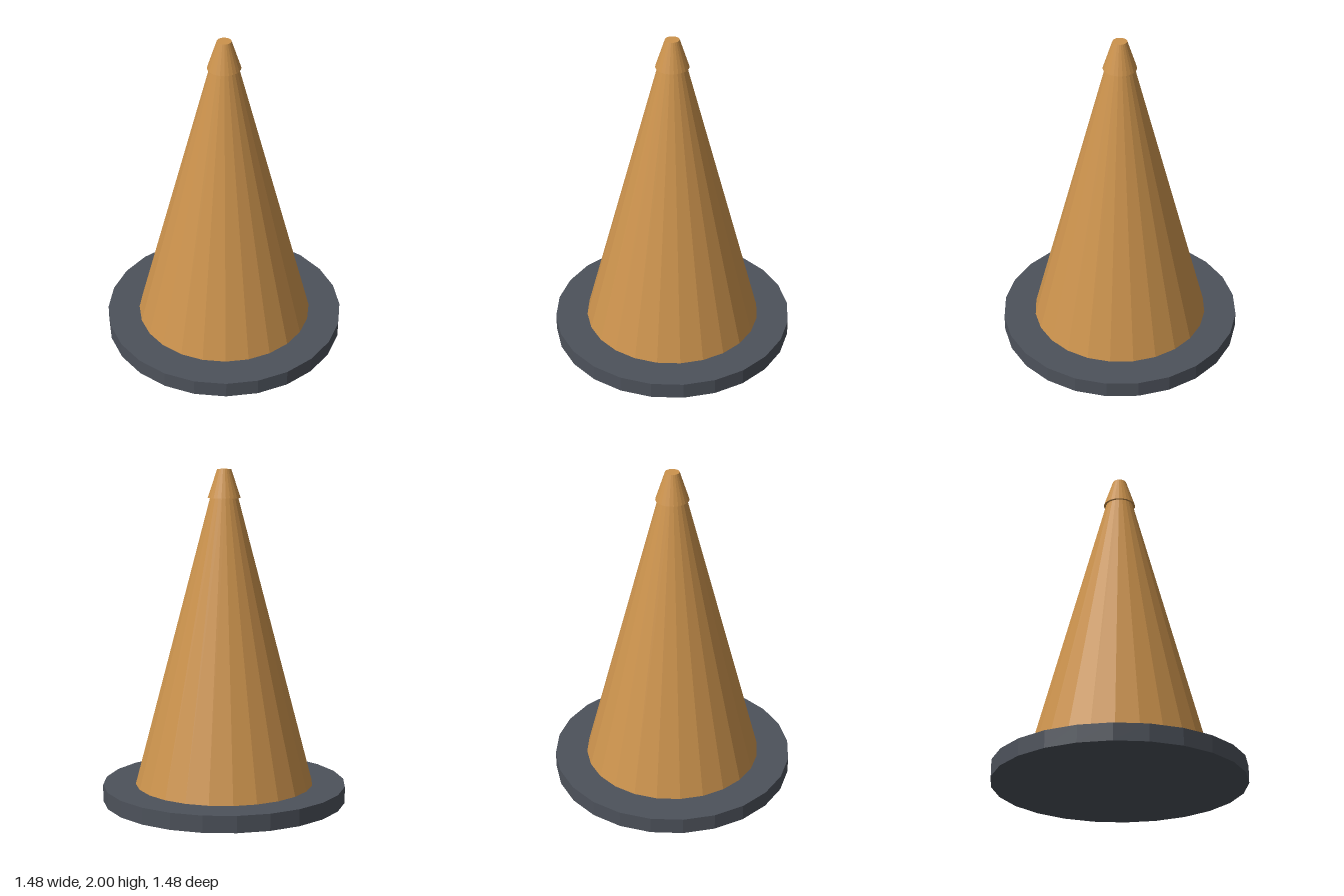
import * as THREE from 'three';

const SIDES = 24;

export function createModel() {
  const group = new THREE.Group();
  const orange = new THREE.MeshStandardMaterial({ color: 0xcc934d, flatShading: true });
  orange.name = 'orange plastic';
  const grey = new THREE.MeshStandardMaterial({ color: 0x4d525b, flatShading: true });
  grey.name = 'dark grey rubber';

  // Tapered ring of facets standing between two heights
  function addFrustum(name, topRadius, bottomRadius, y0, y1, material, open = false) {
    const geometry = new THREE.CylinderGeometry(topRadius, bottomRadius, y1 - y0, SIDES, 1, open);
    const mesh = new THREE.Mesh(geometry, material);
    mesh.name = name;
    mesh.position.y = (y0 + y1) / 2;
    group.add(mesh);
  }

  // Round foot, tall cone, and overhanging tip
  addFrustum('base', 0.738, 0.738, 0, 0.1, grey);
  addFrustum('coneBody', 0.083, 0.54, 0.1, 1.835, orange, true);
  addFrustum('tip', 0.042, 0.098, 1.83, 2, orange);

  return group;
}
